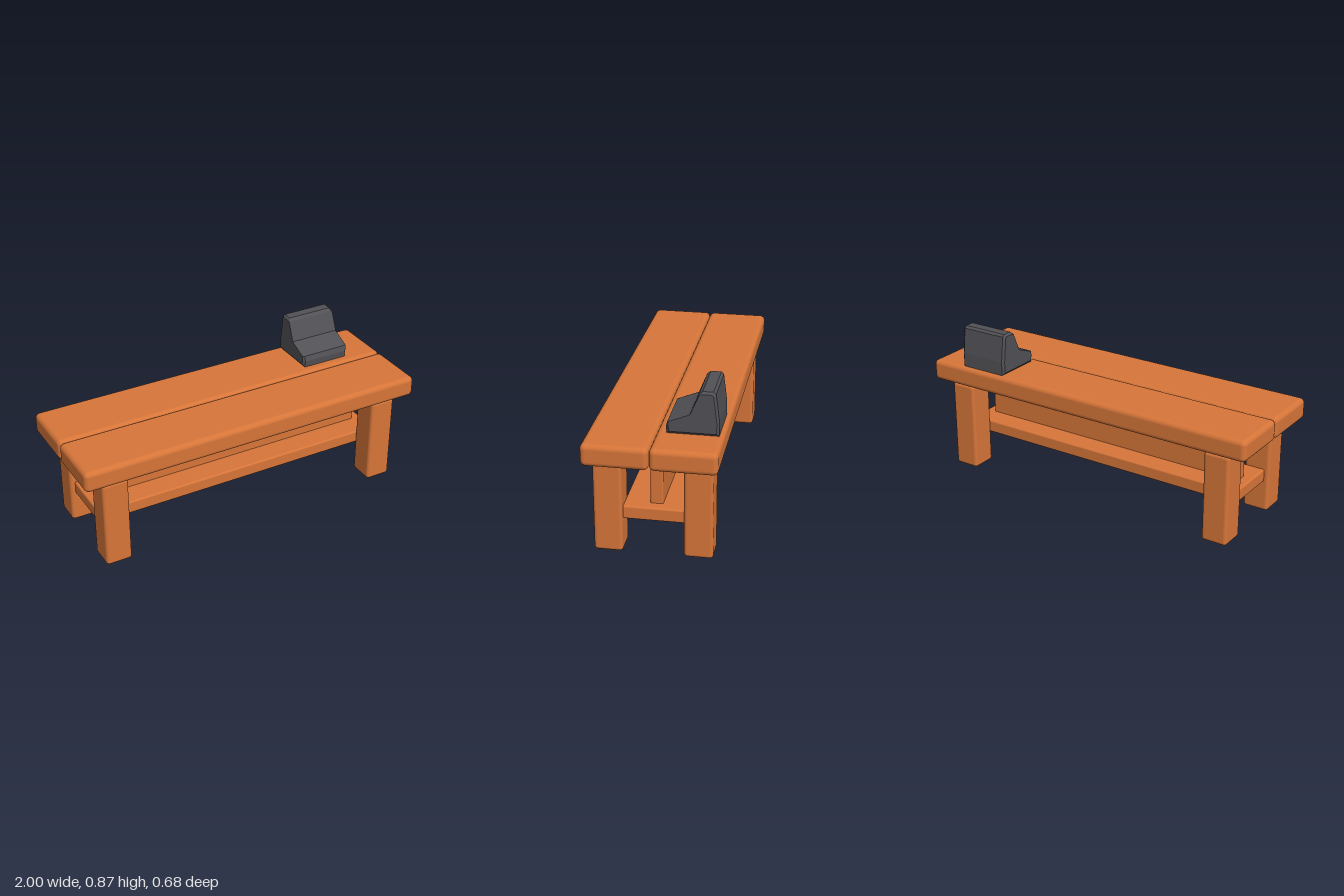
import * as THREE from 'three';
import { RoundedBoxGeometry } from 'three/addons/geometries/RoundedBoxGeometry.js';

const wood = new THREE.MeshStandardMaterial({ color: 0xd67539 });
wood.name = 'orange wood';
const dark = new THREE.MeshStandardMaterial({ color: 0x515156 });
dark.name = 'dark grey';

// Rounded beam given by its extents on each axis
function beam(name, [x0, x1], [y0, y1], [z0, z1], radius) {
  const mesh = new THREE.Mesh(new RoundedBoxGeometry(x1 - x0, y1 - y0, z1 - z0, 4, radius), wood);
  mesh.position.set((x0 + x1) / 2, (y0 + y1) / 2, (z0 + z1) / 2);
  mesh.name = name;
  return mesh;
}

// Side profile [z, y] swept along x, narrowing to an inset profile at both ends
function wedgeBlock(outer, inset, x0, x1, bevel) {
  const sections = [[x0, inset], [x0 + bevel, outer], [x1 - bevel, outer], [x1, inset]];
  const positions = [];
  const put = (s, i) => {
    const [x, loop] = sections[s];
    const [z, y] = loop[i % loop.length];
    positions.push(x, y, z);
  };
  for (let s = 0; s < 3; s++) {
    for (let i = 0; i < outer.length; i++) {
      put(s, i); put(s + 1, i + 1); put(s, i + 1);
      put(s, i); put(s + 1, i); put(s + 1, i + 1);
    }
  }
  // End caps
  const flat = inset.map(([z, y]) => new THREE.Vector2(z, y));
  for (const [a, b, c] of THREE.ShapeUtils.triangulateShape(flat, [])) {
    const area = (flat[b].x - flat[a].x) * (flat[c].y - flat[a].y)
      - (flat[c].x - flat[a].x) * (flat[b].y - flat[a].y);
    const [p, q] = area < 0 ? [b, c] : [c, b];
    put(3, a); put(3, p); put(3, q);
    put(0, a); put(0, q); put(0, p);
  }
  const geometry = new THREE.BufferGeometry();
  geometry.setAttribute('position', new THREE.Float32BufferAttribute(positions, 3));
  geometry.computeVertexNormals();
  return geometry;
}

export function createModel() {
  const model = new THREE.Group();
  model.name = 'bench';

  // Two thick top planks
  model.add(beam('frontPlank', [-1, 1], [0.515, 0.633], [0.001, 0.339], 0.027));
  model.add(beam('backPlank', [-1, 1], [0.515, 0.633], [-0.339, -0.001], 0.027));

  // Four square legs
  for (const x of [-1, 1]) {
    for (const z of [-1, 1]) {
      const leg = beam('leg', [-0.073, 0.073], [0, 0.508], [-0.074, 0.074], 0.018);
      leg.position.x = x * 0.823;
      leg.position.z = z * 0.23;
      model.add(leg);
    }
  }

  // Low shelf between the legs and the upright rail standing on it
  model.add(beam('shelf', [-0.87, 0.87], [0.177, 0.249], [-0.16, 0.16], 0.01));
  model.add(beam('rail', [-0.815, 0.815], [0.235, 0.465], [-0.039, 0.027], 0.009));

  // Wedge-shaped block on the back plank, profile from bottom front over the top to bottom back
  const outer = [
    [-0.053, 0.633], [-0.05, 0.67], [-0.059, 0.7], [-0.17, 0.744], [-0.213, 0.851],
    [-0.231, 0.865], [-0.284, 0.865], [-0.297, 0.853], [-0.315, 0.71], [-0.315, 0.633],
  ];
  const inset = [
    [-0.067, 0.647], [-0.063, 0.675], [-0.064, 0.699], [-0.17, 0.742], [-0.216, 0.848],
    [-0.231, 0.853], [-0.279, 0.853], [-0.286, 0.845], [-0.303, 0.71], [-0.303, 0.647],
  ];
  const block = new THREE.Mesh(wedgeBlock(outer, inset, 0.512, 0.802, 0.012), dark);
  block.name = 'wedgeBlock';
  model.add(block);

  return model;
}
